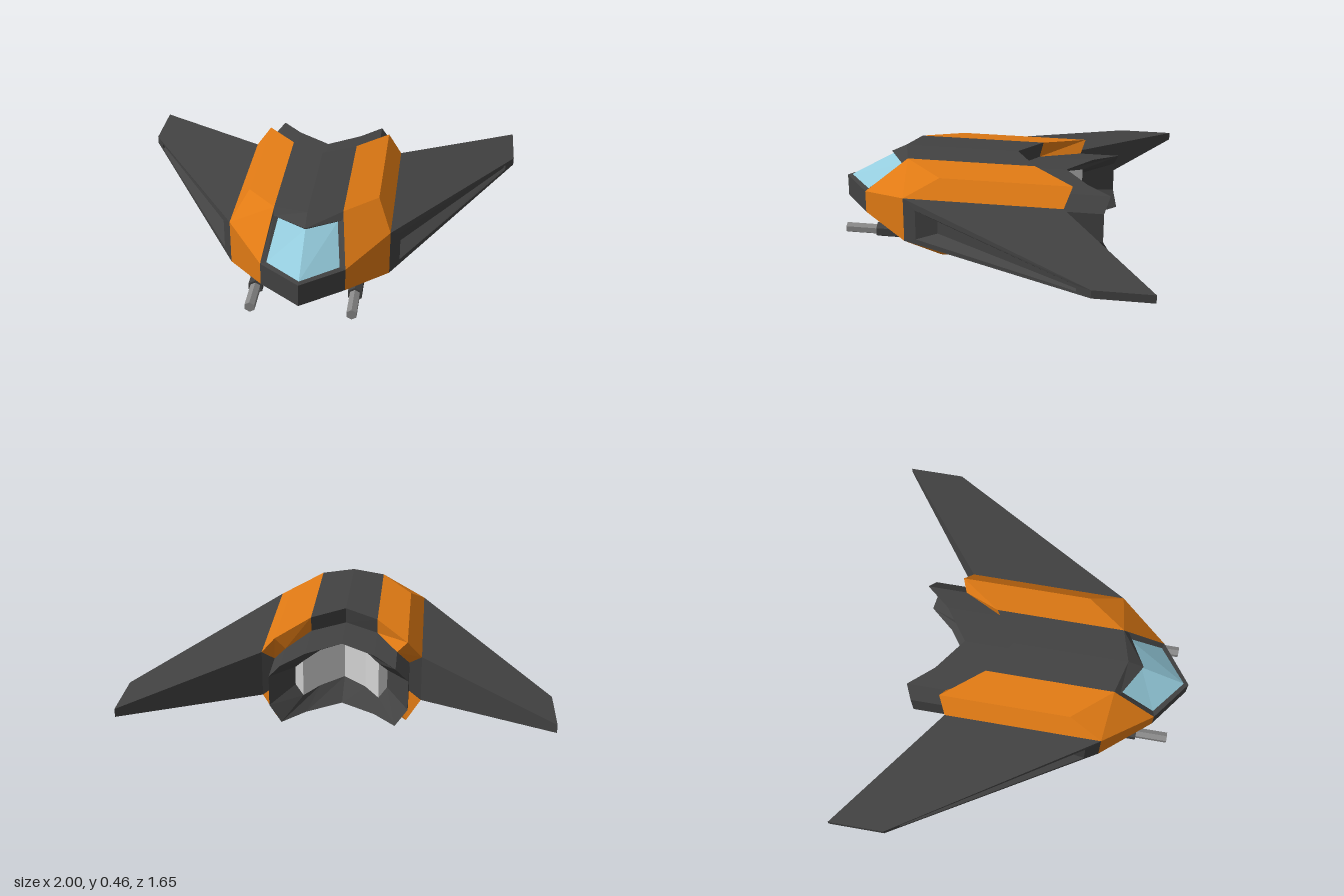
import * as THREE from 'three';

const mat = (name, color) => {
  const m = new THREE.MeshStandardMaterial({ color, flatShading: true });
  m.name = name;
  return m;
};

// Flat-shaded mesh from convex polygons on the +x side, mirrored to -x
function mirrored(name, material, polygons) {
  const pos = [];
  const fan = (p) => {
    for (let i = 1; i < p.length - 1; i++) pos.push(...p[0], ...p[i], ...p[i + 1]);
  };
  for (const p of polygons) {
    fan(p);
    fan(p.map(([x, y, z]) => [-x, y, z]).reverse());
  }
  const g = new THREE.BufferGeometry();
  g.setAttribute('position', new THREE.Float32BufferAttribute(pos, 3));
  g.computeVertexNormals();
  const mesh = new THREE.Mesh(g, material);
  mesh.name = name;
  return mesh;
}

// Quad i of the band between two half rings (a in front, b behind)
const band = (a, b, indices) => indices.map((i) => [a[i], a[i + 1], b[i + 1], b[i]]);

export function createModel() {
  const dark = mat('charcoal', 0x424242);
  const orange = mat('orange', 0xe07a14);
  const glass = mat('paleBlueGlass', 0x94cbdc);
  const metal = mat('gunGrey', 0x888888);
  const pale = mat('engineGrey', 0xd4d4d4);
  const model = new THREE.Group();
  model.name = 'spaceFighter';

  // Half rings, running from top centre around the side to bottom centre
  const F = [[0, 0.46, 0.5], [0.165, 0.45, 0.455], [0.32, 0.42, 0.26], [0.39, 0.33, 0.43],
    [0.39, 0.1, 0.43], [0.32, 0.005, 0.26], [0.165, 0, 0.47], [0, 0, 0.59]];
  const R = [[0, 0.46, -0.08], [0.165, 0.45, -0.19], [0.32, 0.42, -0.395], [0.39, 0.33, -0.36],
    [0.39, 0.1, -0.36], [0.32, 0.005, -0.395], [0.165, 0, -0.19], [0, 0, -0.08]];
  const P = [[0, 0.375, -0.33], [0.165, 0.37, -0.45], [0.27, 0.36, -0.575], [0.33, 0.29, -0.55],
    [0.33, 0.14, -0.55], [0.27, 0.065, -0.575], [0.165, 0.06, -0.45], [0, 0.055, -0.33]];
  const Q = P.map(([x, y], i) => [x, y, R[i][2] + 0.02]);
  const I = P.map(([x, y, z]) => [x * 0.68, 0.215 + (y - 0.215) * 0.62, z + 0.18]);

  // Nose, brow and window corners
  const n0 = [0, 0.27, 0.825], n1 = [0.2, 0.27, 0.675], n6 = [0.2, 0.155, 0.675], n7 = [0, 0.155, 0.825];
  const b0 = [0, 0.42, 0.58], b1 = [0.165, 0.42, 0.485];
  const w0 = [0, 0.275, 0.8], w1 = [0.172, 0.275, 0.665], w2 = [0.142, 0.41, 0.485], w3 = [0, 0.41, 0.57];

  model.add(
    mirrored('hullSpine', dark, [...band(F, R, [0, 6]), ...band(R, Q, [0, 3, 6])]),
    mirrored('hullShoulders', orange, [...band(F, R, [1, 2, 4, 5]), ...band(R, Q, [1, 2, 4, 5])]),
    mirrored('noseCheeks', orange, [
      [n1, F[3], F[1]], [F[3], F[2], F[1]], [n1, n6, F[4], F[3]],
      [n6, F[6], F[4]], [F[4], F[6], F[5]],
    ]),
    mirrored('nose', dark, [[n7, n6, n1, n0], [n6, n7, F[7], F[6]]]),
    mirrored('canopyFrame', dark, [
      [n0, n1, w1, w0], [n1, b1, w2, w1], [b1, b0, w3, w2], [n1, F[1], b1], [b0, b1, F[1], F[0]],
    ]),
    mirrored('canopyGlass', glass, [[w0, w1, w2, w3]]),
    mirrored('engineNozzle', dark, [
      ...band(Q, P, [0, 1, 2, 3, 4, 5, 6]), ...band(P, I, [0, 1, 2, 3, 4, 5, 6]),
    ]),
    mirrored('engineCore', pale, [0, 1, 2].map((i) => [I[i], I[i + 1], I[6 - i], I[7 - i]])),
  );

  // Swept wings with a recessed channel along the leading face
  const lead = [[0.39, 0.1, 0.43], [1, 0.195, -0.55], [1, 0.235, -0.55], [0.39, 0.33, 0.43]];
  const trail = [[0.39, 0.1, -0.36], [1, 0.195, -0.83], [1, 0.235, -0.83], [0.39, 0.33, -0.36]];
  const lip = [[0.435, 0.135, 0.36], [0.955, 0.2, -0.48], [0.955, 0.228, -0.48], [0.435, 0.29, 0.36]];
  const floor = [[0.43, 0.173, 0.25], [0.945, 0.207, -0.485], [0.945, 0.221, -0.485], [0.43, 0.238, 0.25]];
  const loop = (a, b) => a.map((_, k) => [a[k], a[(k + 1) % 4], b[(k + 1) % 4], b[k]]);
  model.add(mirrored('wings', dark, [
    [lead[3], lead[2], trail[2], trail[3]],
    [lead[0], trail[0], trail[1], lead[1]],
    [lead[2], lead[1], trail[1], trail[2]],
    [trail[3], trail[2], trail[1], trail[0]],
    ...loop(lead, lip), ...loop(lip, floor), floor,
  ]));

  // Hexagonal guns under the cheeks
  const rod = (name, material, r, z0, z1, x) => {
    const g = new THREE.CylinderGeometry(r, r, z1 - z0, 6).rotateX(Math.PI / 2);
    const mesh = new THREE.Mesh(g, material);
    mesh.name = name;
    mesh.position.set(x, 0.082, (z0 + z1) / 2);
    return mesh;
  };
  for (const side of [-1, 1]) {
    const gun = new THREE.Group();
    gun.name = side > 0 ? 'leftGun' : 'rightGun';
    gun.add(
      rod('gunMount', dark, 0.038, 0.4, 0.605, side * 0.24),
      rod('gunBarrel', metal, 0.027, 0.6, 0.765, side * 0.24),
    );
    model.add(gun);
  }
  return model;
}
